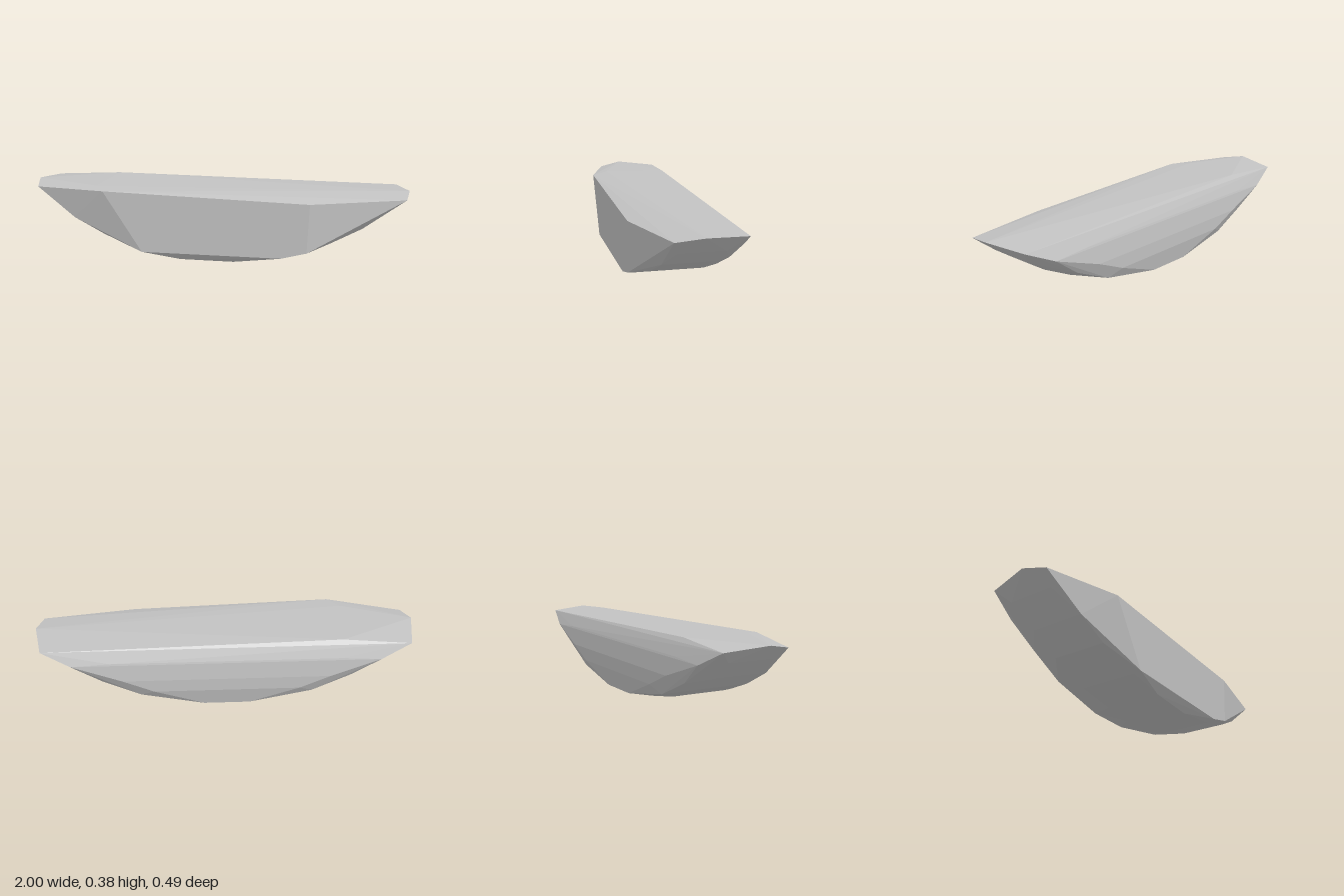
import * as THREE from 'three';
import { ConvexGeometry } from 'three/addons/geometries/ConvexGeometry.js';

export function createModel() {
  const model = new THREE.Group();
  const stone = new THREE.MeshStandardMaterial({ color: 0xc2c2c2 });
  stone.name = 'paleStone';
  const points = [];
  const add = (x, y, z) => points.push(new THREE.Vector3(x, y, z));

  // Flat top: pointed ends and broad rim
  add(-1, 0.387, 0.01);
  add(1, 0.375, 0.01);
  add(-0.64, 0.386, 0.155);
  add(-0.6, 0.386, -0.187);
  add(-0.97, 0.365, 0.13);
  add(0.975, 0.357, 0.142);
  add(-0.955, 0.365, -0.205);
  add(0.95, 0.36, -0.202);

  // Upright front face
  add(-0.58, 0.378, 0.245);
  add(0.49, 0.343, 0.245);
  add(-0.38, 0.057, 0.244);
  add(0.35, 0.052, 0.244);
  add(0.48, 0.085, 0.243);

  // Curved underside: x, height, front z, back z
  const keel = [
    [-0.9, 0.308, 0.1, -0.14], [-0.76, 0.212, 0.17, -0.12],
    [-0.6, 0.13, 0.18, -0.11], [-0.38, 0.053, 0.2, -0.11],
    [-0.18, 0.015, 0.21, -0.1], [0, 0.002, 0.06, -0.11],
    [0.1, 0.009, 0.2, -0.08], [0.36, 0.045, 0.19, -0.11],
    [0.6, 0.122, 0.17, -0.1], [0.76, 0.2, 0.145, -0.1],
    [0.88, 0.28, 0.1, -0.12],
  ];
  for (const [x, y, front, back] of keel) {
    add(x, y, front);
    add(x, y, back);
  }

  // Rounded back: half length, height, z
  const back = [
    [0.12, 0.032, -0.226], [0.45, 0.09, -0.214], [0.65, 0.18, -0.21],
    [0.38, 0.13, -0.246], [0.54, 0.2, -0.246], [0.8, 0.29, -0.234],
    [0.6, 0.3, -0.231],
  ];
  for (const [x, y, z] of back) {
    add(x, y, z);
    add(-x, y, z);
  }

  const slab = new THREE.Mesh(new ConvexGeometry(points), stone);
  slab.name = 'rockSlab';
  model.add(slab);
  return model;
}
